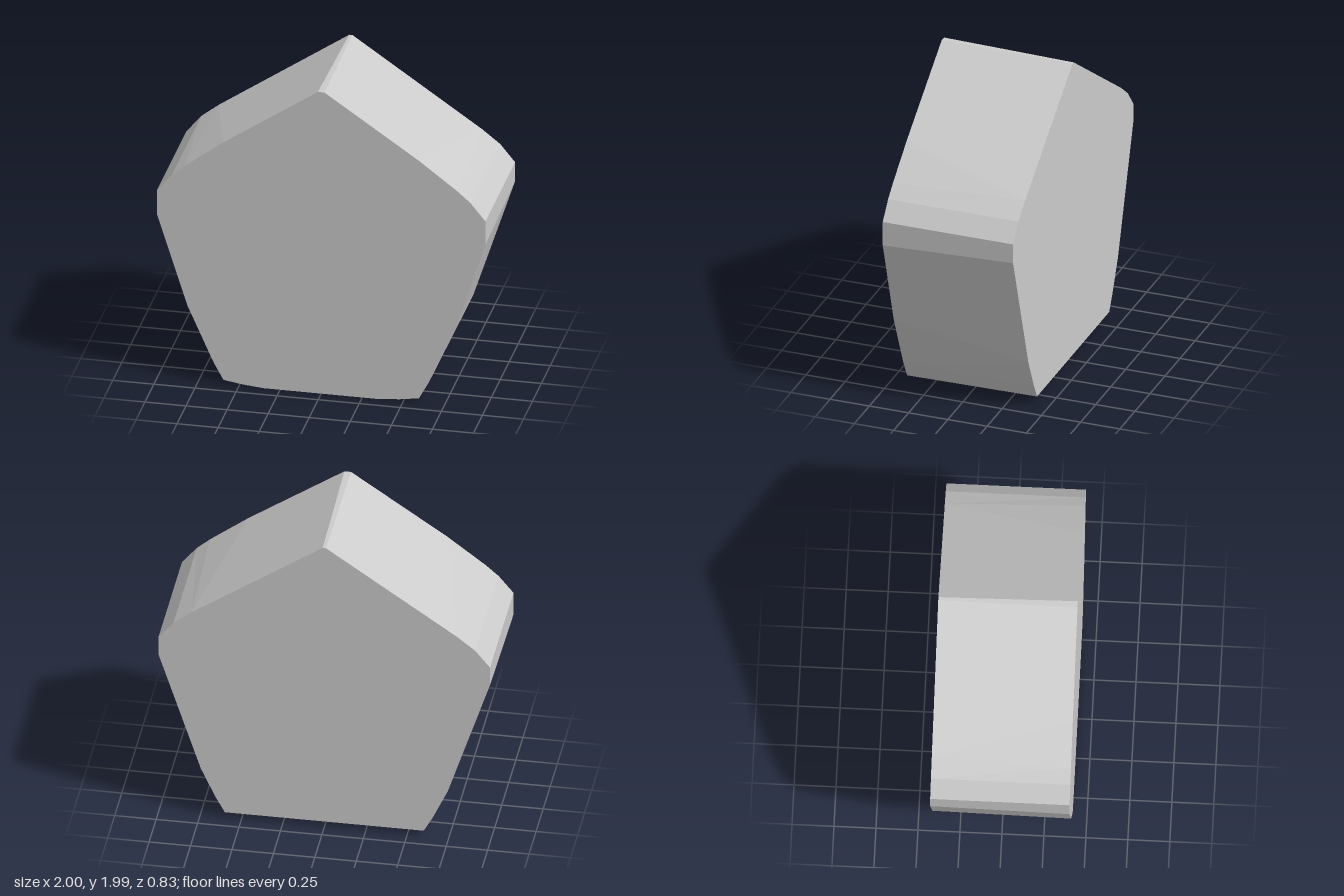
import * as THREE from 'three';

const HALF_DEPTH = 0.415;

// Matching right halves [x, y] of the two outlines, from apex down to the base
const FRONT = [[0.02, 1.99], [0.6, 1.595], [0.83, 1.42], [0.91, 1.35], [1, 1.24], [1, 1.085],
  [0.815, 0.5], [0.775, 0.41], [0.655, 0.14], [0.595, 0.03], [0.48, 0.012], [0.35, 0]];
const BACK = [[0.01, 1.978], [0.8, 1.437], [0.8, 1.437], [0.91, 1.35], [1, 1.24], [1, 1.115],
  [0.745, 0.335], [0.745, 0.335], [0.655, 0.14], [0.6, 0.04], [0.48, 0.04], [0.35, 0.04]];

// Mirror a half outline into a closed loop, clockwise as seen from the front
function loop(half, z) {
  const mirrored = half.map(([x, y]) => [-x, y]).reverse();
  return [...half, ...mirrored].map(([x, y]) => new THREE.Vector3(x, y, z));
}

function buildBody() {
  const front = loop(FRONT, HALF_DEPTH);
  const back = loop(BACK, -HALF_DEPTH);
  const n = front.length;
  const points = [];
  const triangle = (a, b, c) => {
    if (a.equals(b) || b.equals(c) || c.equals(a)) return;
    points.push(a, b, c);
  };
  const frontCentre = new THREE.Vector3(0, 1, HALF_DEPTH);
  const backCentre = new THREE.Vector3(0, 1, -HALF_DEPTH);
  for (let i = 0; i < n; i++) {
    const j = (i + 1) % n;
    // Rim band
    triangle(front[i], front[j], back[i]);
    triangle(front[j], back[j], back[i]);
    // Flat end faces
    triangle(frontCentre, front[j], front[i]);
    triangle(backCentre, back[i], back[j]);
  }
  const geometry = new THREE.BufferGeometry().setFromPoints(points);
  geometry.computeVertexNormals();
  return geometry;
}

export function createModel() {
  const model = new THREE.Group();
  model.name = 'pentagonalBlock';
  const material = new THREE.MeshStandardMaterial({ color: 0xcccccc, flatShading: true });
  const body = new THREE.Mesh(buildBody(), material);
  body.name = 'body';
  model.add(body);
  return model;
}
